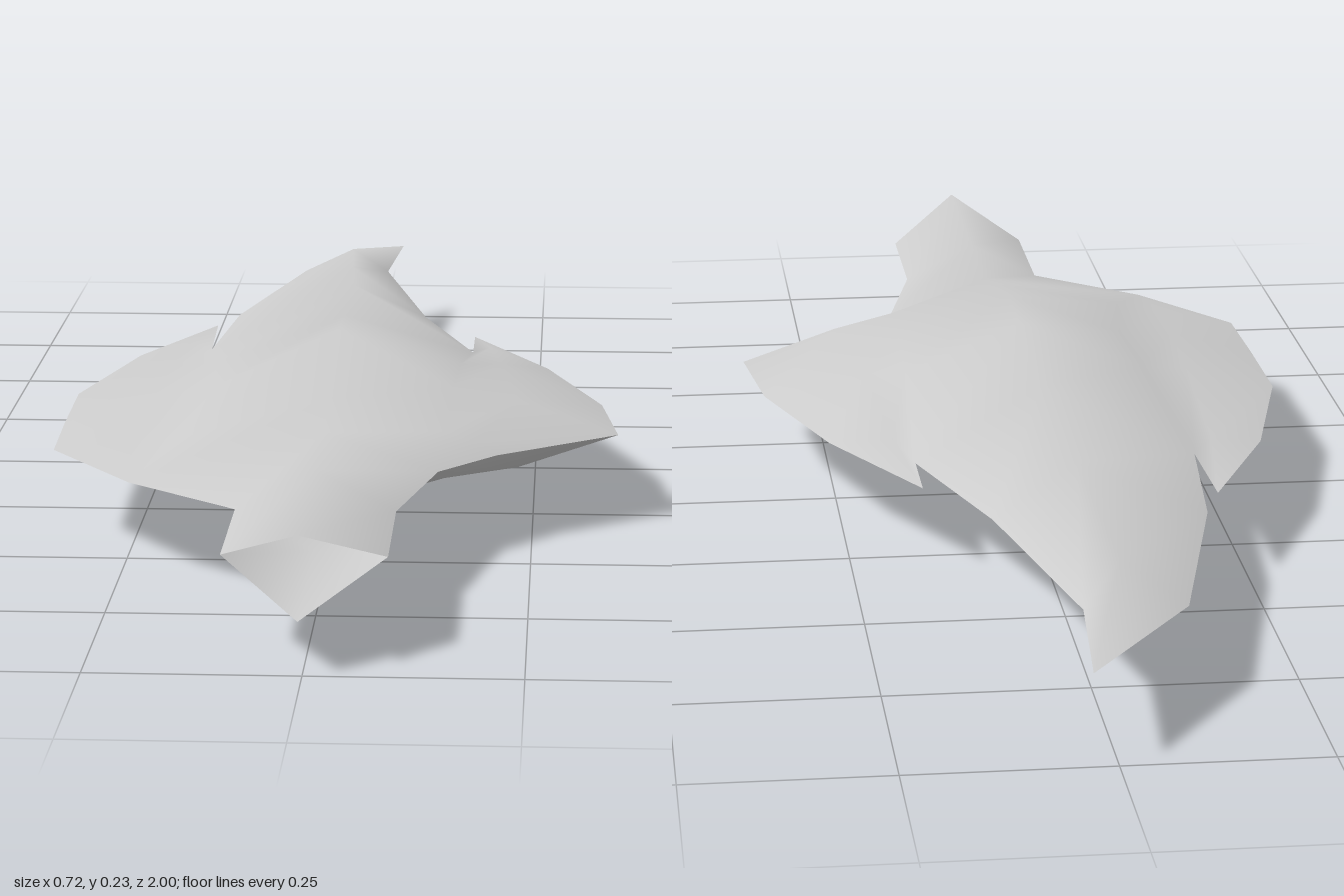
import * as THREE from 'three';
import { mergeVertices } from 'three/addons/utils/BufferGeometryUtils.js';

const MID = 0.114; // height of the sharp rim

// Cross-sections from tip to socket: left edge, ridge, right edge, each [x, height over rim, z]
const BODY = [
  [[0.03, 0, -1], [0.03, 0, -1], [0.03, 0, -1]],
  [[-0.11, 0, -0.79], [-0.035, 0.044, -0.74], [0.015, 0, -0.79]],
  [[-0.185, 0, -0.45], [-0.02, 0.072, -0.45], [0.085, 0, -0.45]],
  [[-0.205, 0, -0.21], [-0.005, 0.096, -0.2], [0.16, 0, -0.21]],
  [[-0.175, 0.04, 0.06], [-0.005, 0.107, 0.06], [0.15, 0.042, 0.06]],
  [[-0.165, 0.043, 0.22], [-0.005, 0.113, 0.18], [0.145, 0.046, 0.22]],
  [[-0.19, 0.025, 0.43], [-0.005, 0.07, 0.4], [0.14, 0.03, 0.4]],
  [[-0.24, 0, 0.565], [-0.005, 0.05, 0.5], [0.135, 0, 0.49]],
  [[-0.1, 0, 0.69], [-0.005, 0.05, 0.69], [0.092, 0, 0.69]],
  [[-0.1, 0, 0.9], [-0.005, 0.05, 1], [0.092, 0, 0.9]],
];

// Barbed wings beside body rows 3 to 6: [crest, outer edge]
const WINGS = {
  left: {
    tip: [-0.21, 0, -0.375],
    rows: [
      [[-0.23, 0.015, -0.19], [-0.3, 0, -0.165]],
      [[-0.235, 0.034, 0.06], [-0.358, 0, 0.08]],
      [[-0.24, 0.034, 0.24], [-0.356, 0, 0.25]],
      [[-0.25, 0.018, 0.42], [-0.352, 0, 0.4]],
    ],
  },
  right: {
    tip: [0.16, 0, -0.315],
    rows: [
      [[0.185, 0.018, -0.16], [0.265, 0, -0.11]],
      [[0.205, 0.043, 0.06], [0.338, 0, 0.11]],
      [[0.23, 0.044, 0.28], [0.358, 0, 0.28]],
      [[0.175, 0.015, 0.4], [0.205, 0, 0.4]],
    ],
  },
};

// Joins neighbouring rows of points with quads facing up
function loft(rows, out) {
  for (let r = 0; r + 1 < rows.length; r++) {
    for (let c = 0; c + 1 < rows[r].length; c++) {
      const a = rows[r][c], b = rows[r][c + 1];
      const d = rows[r + 1][c], e = rows[r + 1][c + 1];
      out.push(a, d, b, b, d, e);
    }
  }
}

// One half of the blade; sign -1 mirrors it below the rim
function shell(sign) {
  const points = [];
  loft(BODY, points);
  for (const side of ['left', 'right']) {
    const { tip, rows } = WINGS[side];
    const column = side === 'left' ? 0 : 2;
    const end = BODY[7][column];
    const strip = [
      [tip, tip, tip],
      ...rows.map(([crest, outer], i) => [BODY[i + 3][column], crest, outer]),
      [end, end, end],
    ];
    loft(side === 'left' ? strip.map((row) => [...row].reverse()) : strip, points);
  }
  const positions = [];
  for (let i = 0; i < points.length; i += 3) {
    const tri = [points[i], points[i + 1], points[i + 2]];
    if (new Set(tri.map(String)).size < 3) continue; // collapsed corner
    if (sign < 0) tri.reverse();
    for (const [x, h, z] of tri) positions.push(x, MID + sign * h, z);
  }
  const geometry = new THREE.BufferGeometry();
  geometry.setAttribute('position', new THREE.Float32BufferAttribute(positions, 3));
  const merged = mergeVertices(geometry, 1e-4);
  merged.computeVertexNormals();
  return merged;
}

export function createModel() {
  const group = new THREE.Group();
  group.name = 'barbedSpearhead';
  const metal = new THREE.MeshStandardMaterial({ color: 0xcccccc, side: THREE.DoubleSide });
  metal.name = 'paleGreyMetal';

  // Hollow blade, open at the socket end
  for (const [name, sign] of [['upperBlade', 1], ['lowerBlade', -1]]) {
    const mesh = new THREE.Mesh(shell(sign), metal);
    mesh.name = name;
    group.add(mesh);
  }
  return group;
}
